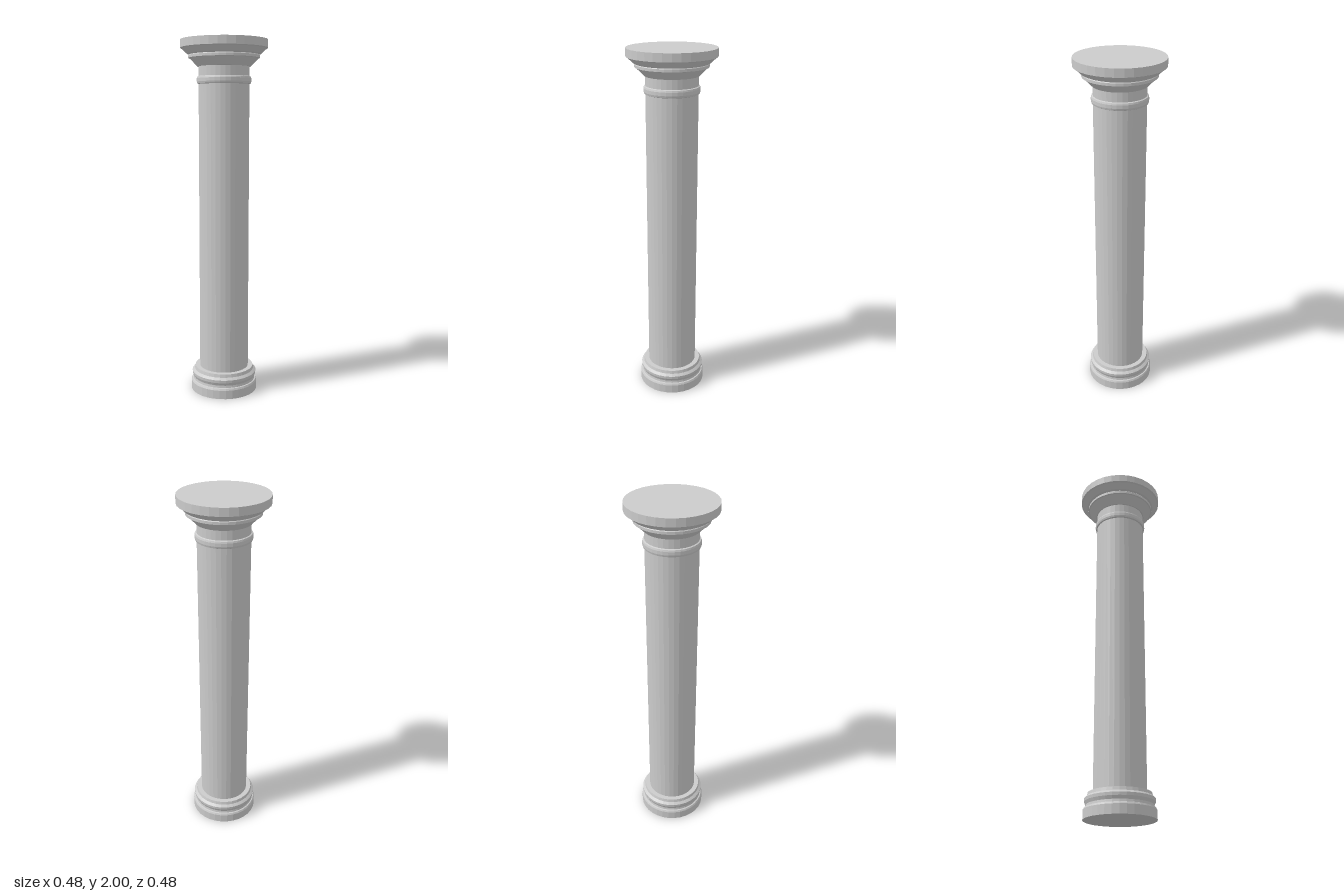
import * as THREE from 'three';

const SIDES = 32;

export function createModel() {
  const column = new THREE.Group();
  column.name = 'column';
  const material = new THREE.MeshStandardMaterial({ color: 0xcccccc, flatShading: true });

  // Turned part from [radius, height] pairs, listed bottom to top
  const turned = (name, profile) => {
    const points = profile.map(([r, y]) => new THREE.Vector2(r, y));
    const mesh = new THREE.Mesh(new THREE.LatheGeometry(points, SIDES), material);
    mesh.name = name;
    column.add(mesh);
  };

  // Base: plinth disc, hollow moulding and upper collar
  turned('base', [
    [0, 0], [0.192, 0], [0.192, 0.05], [0.187, 0.06], [0.18, 0.062],
    [0.178, 0.075], [0.185, 0.092], [0.186, 0.108], [0.178, 0.115],
    [0.172, 0.12], [0.168, 0.138], [0.141, 0.138],
  ]);

  // Plain shaft up to the capital
  turned('shaft', [[0.141, 0.138], [0.141, 1.86]]);

  // Rounded ring below the neck
  turned('neckRing', [
    [0.141, 1.762], [0.148, 1.765], [0.151, 1.775], [0.151, 1.793],
    [0.148, 1.802], [0.141, 1.805],
  ]);

  // Capital: flaring cone, narrow band, second flare and top slab
  turned('capital', [
    [0.141, 1.857], [0.147, 1.857], [0.19, 1.9], [0.197, 1.902],
    [0.197, 1.916], [0.194, 1.92], [0.205, 1.925], [0.234, 1.952],
    [0.242, 1.956], [0.242, 2], [0, 2],
  ]);

  return column;
}
